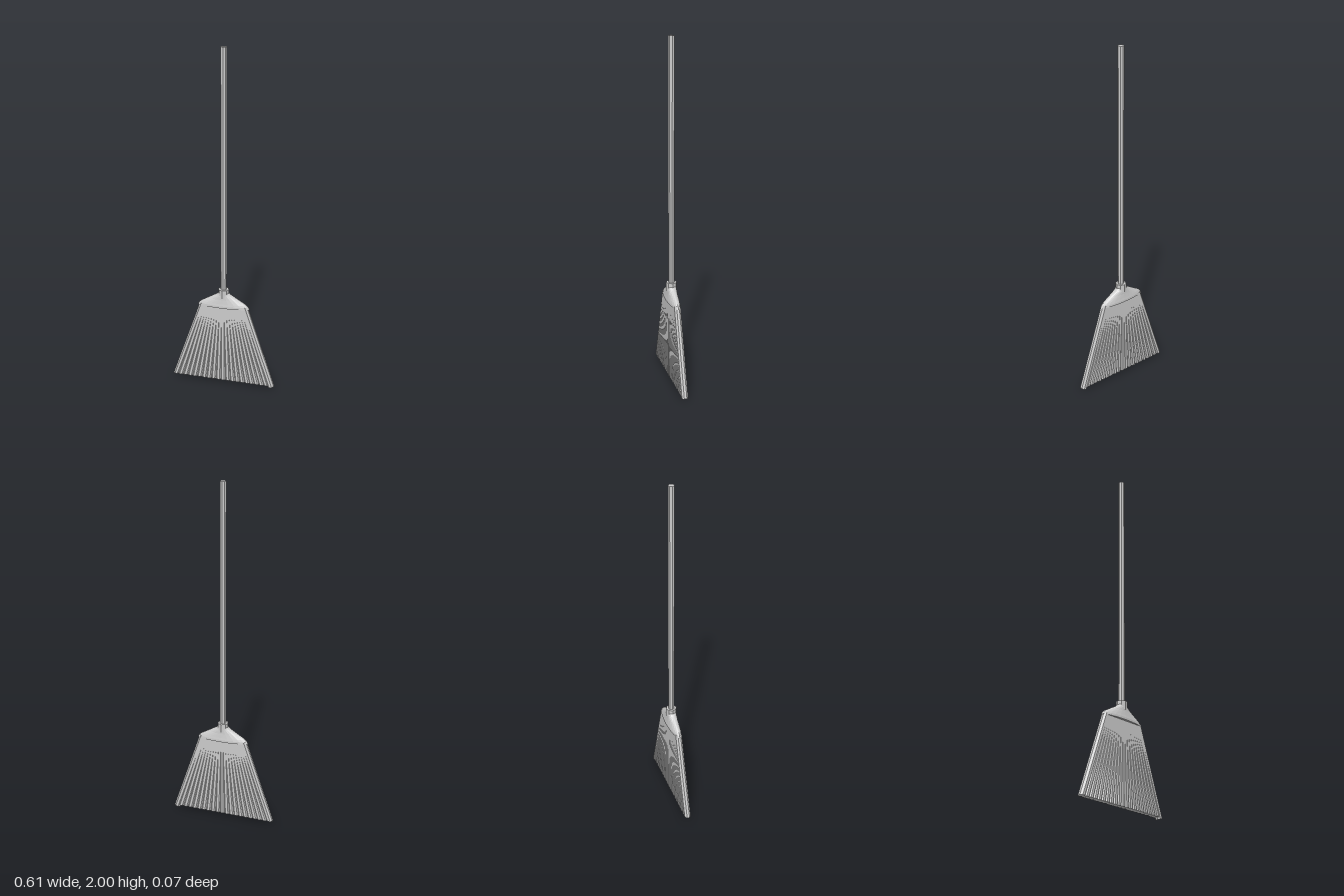
import * as THREE from 'three';

export function createModel() {
  const broom = new THREE.Group();
  broom.name = 'broom';
  const material = new THREE.MeshStandardMaterial({ color: 0xcccccc, flatShading: true });

  function add(name, geometry, parent = broom) {
    const mesh = new THREE.Mesh(geometry, material);
    mesh.name = name;
    parent.add(mesh);
    return mesh;
  }

  // Long octagonal handle and the collar that grips it
  add('handle', new THREE.CylinderGeometry(0.018, 0.018, 1.46, 8)).position.y = 1.27;
  add('collar', new THREE.CylinderGeometry(0.031, 0.031, 0.05, 8)).position.y = 0.575;

  // Flared shoulder: elliptical sections as [y, half width, half depth], top to bottom
  const sections = [
    [0.578, 0.028, 0.028],
    [0.565, 0.044, 0.027],
    [0.54, 0.088, 0.028],
    [0.515, 0.132, 0.031],
    [0.503, 0.146, 0.033],
    [0.49, 0.153, 0.033],
  ];
  const steps = sections.length - 1;
  const shoulder = new THREE.CylinderGeometry(1, 1, 1, 24, steps);
  const p = shoulder.attributes.position;
  for (let i = 0; i < p.count; i++) {
    const [y, halfWidth, halfDepth] = sections[Math.round((0.5 - p.getY(i)) * steps)];
    p.setXYZ(i, p.getX(i) * halfWidth, y, p.getZ(i) * halfDepth);
  }
  add('shoulder', shoulder);

  // Fan of thick bristles, sheared outward so that their ends stay level
  const bristles = new THREE.Group();
  bristles.name = 'bristles';
  broom.add(bristles);
  const count = 21;
  const top = 0.5;
  const bottom = 0.015;
  const radius = 0.0195;
  for (let i = 0; i < count - 1; i++) {
    const t = (i / (count - 1)) * 2 - 1;
    const bristle = new THREE.CylinderGeometry(radius, radius, top - bottom, 8);
    bristle.rotateY(Math.PI / 8);
    const shear = (t * (0.29 - 0.123)) / (top - bottom);
    bristle.applyMatrix4(new THREE.Matrix4().set(
      1, -shear, 0, t * (0.29 + 0.123) / 2,
      0, 1, 0, (top + bottom) / 2,
      0, 0, 1, 0,
      0, 0, 0, 1,
    ));
    add('bristle', bristle, bristles);
  }

  // Last bristle is tilted with a square-cut end, so its tip touches the floor
  const start = new THREE.Vector3(0.123, 0.5, 0);
  const end = new THREE.Vector3(0.288, 0.006, 0);
  const axis = start.clone().sub(end);
  const endGeometry = new THREE.CylinderGeometry(radius, radius, axis.length(), 8);
  endGeometry.rotateY(Math.PI / 8);
  const endBristle = add('endBristle', endGeometry, bristles);
  endBristle.position.copy(start).add(end).multiplyScalar(0.5);
  endBristle.rotation.z = Math.atan2(-axis.x, axis.y);

  return broom;
}
